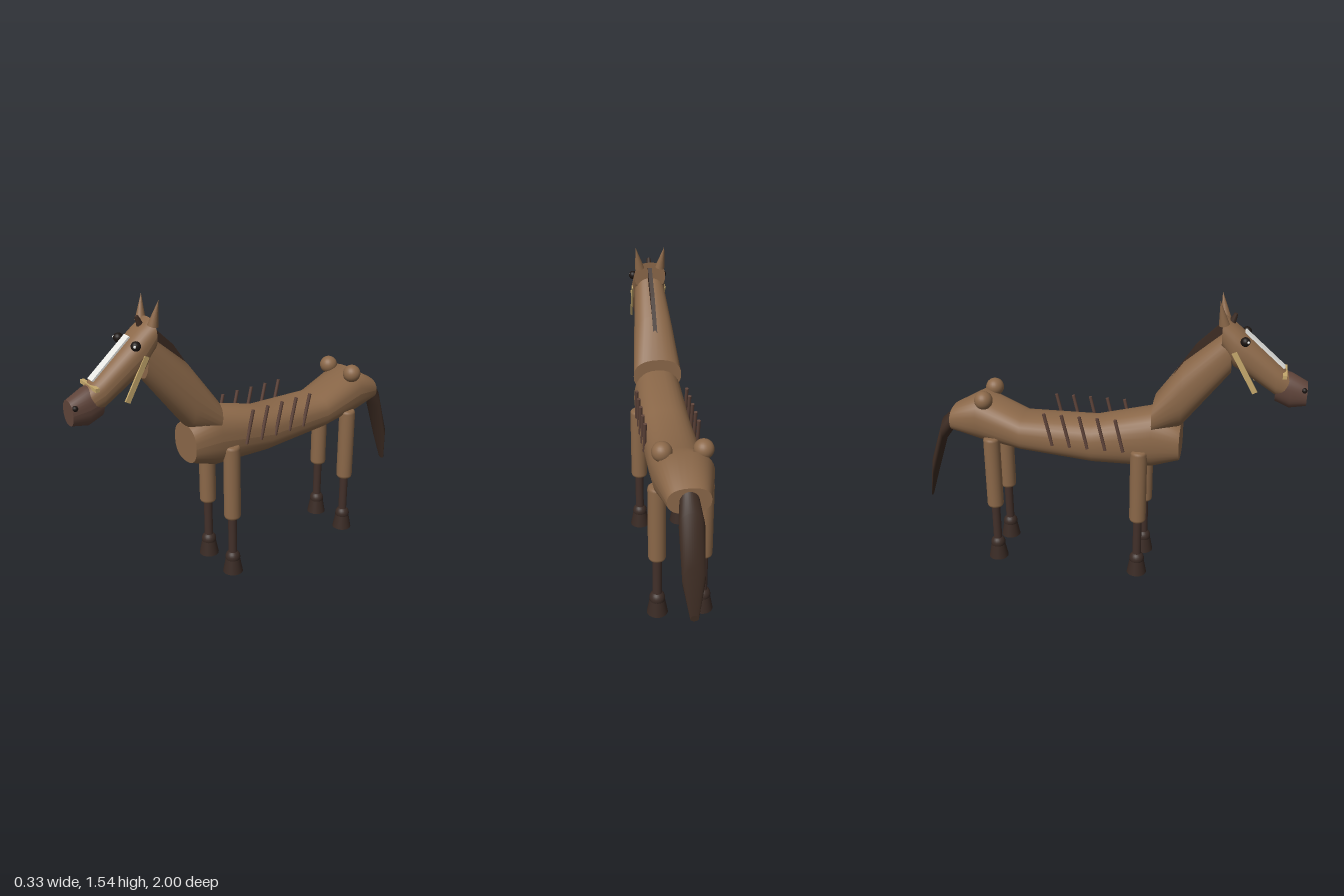
import * as THREE from 'three';

const material = (name, color, side = THREE.FrontSide) => {
  const m = new THREE.MeshStandardMaterial({ color, side });
  m.name = name;
  return m;
};

// Closed skin through upright sections [z, yLow, yHigh, halfWidth], listed front to back
function loft(rings, power = 2.4, sides = 32) {
  const pos = [], idx = [], n = sides + 1;
  const curve = (v) => Math.sign(v) * Math.pow(Math.abs(v), 2 / power);
  const addRing = ([z, lo, hi, w]) => {
    for (let j = 0; j <= sides; j++) {
      const a = ((j % sides) / sides) * Math.PI * 2;
      pos.push(w * curve(Math.cos(a)), (lo + hi) / 2 + ((hi - lo) / 2) * curve(Math.sin(a)), z);
    }
  };
  rings.forEach(addRing);
  for (let i = 0; i < rings.length - 1; i++) {
    for (let j = 0; j < sides; j++) {
      const a = i * n + j, b = a + n;
      idx.push(a, b, a + 1, b, b + 1, a + 1);
    }
  }
  // Flat end caps with their own corners, so the rims stay sharp
  [[rings[0], true], [rings[rings.length - 1], false]].forEach(([ring, front]) => {
    const start = pos.length / 3;
    addRing(ring);
    pos.push(0, (ring[1] + ring[2]) / 2, ring[0]);
    for (let j = start; j < start + sides; j++) {
      if (front) idx.push(start + n, j, j + 1);
      else idx.push(start + n, j + 1, j);
    }
  });
  const g = new THREE.BufferGeometry();
  g.setAttribute('position', new THREE.Float32BufferAttribute(pos, 3));
  g.setIndex(idx);
  g.computeVertexNormals();
  return g;
}

export function createModel() {
  const coat = material('coat brown', 0x8b6849);
  const dark = material('dark hair', 0x3c2b22);
  const shin = material('lower leg brown', 0x42302a);
  const hoofMat = material('hoof brown', 0x392a24);
  const muzzleMat = material('muzzle brown', 0x5f443a);
  const strapMat = material('strap tan', 0xc4a86c);
  const white = material('blaze white', 0xeeeeea);
  const eyeMat = material('eye black', 0x1c1512);

  const model = new THREE.Group();
  model.name = 'horse';
  const add = (name, geometry, mat, x = 0, y = 0, z = 0) => {
    const m = new THREE.Mesh(geometry, mat);
    m.name = name;
    m.position.set(x, y, z);
    model.add(m);
    return m;
  };
  // Round or square bar between two points
  const bar = (name, geometry, mat, from, to) => {
    const a = new THREE.Vector3(...from), b = new THREE.Vector3(...to);
    const m = add(name, geometry, mat);
    m.position.copy(a).add(b).multiplyScalar(0.5);
    m.quaternion.setFromUnitVectors(new THREE.Vector3(0, 1, 0), b.sub(a).normalize());
    return m;
  };

  // Trunk, neck, head, muzzle and tail
  add('body', loft([
    [0.40, 0.665, 0.865, 0.10], [0.26, 0.62, 0.94, 0.13], [-0.05, 0.62, 0.855, 0.135],
    [-0.43, 0.655, 0.845, 0.135], [-0.66, 0.695, 0.95, 0.143], [-0.82, 0.73, 0.86, 0.10],
  ]), coat);
  add('neck', loft([
    [0.63, 1.16, 1.40, 0.08], [0.40, 0.86, 1.20, 0.112], [0.26, 0.82, 1.0, 0.13],
  ]), coat);
  add('head', loft([
    [0.92, 1.05, 1.165, 0.055], [0.85, 1.065, 1.225, 0.075], [0.70, 1.165, 1.355, 0.09],
    [0.64, 1.20, 1.405, 0.09], [0.58, 1.29, 1.445, 0.085],
  ]), coat);
  add('muzzle', loft([
    [1.0, 1.015, 1.135, 0.052], [0.92, 1.0, 1.178, 0.064], [0.85, 1.03, 1.19, 0.06],
  ], 2.2), muzzleMat);
  add('tail', loft([
    [-0.79, 0.78, 0.87, 0.04], [-0.89, 0.64, 0.78, 0.058],
    [-0.965, 0.40, 0.55, 0.052], [-1.0, 0.28, 0.31, 0.02],
  ], 2), dark);

  // Mane blade along the crest
  const crest = new THREE.Shape([
    [0.28, 1.02], [0.455, 1.29], [0.585, 1.42], [0.58, 1.34], [0.44, 1.20],
  ].map(([z, y]) => new THREE.Vector2(-z, y)));
  const maneGeo = new THREE.ExtrudeGeometry(crest, { depth: 0.022, bevelEnabled: false });
  maneGeo.translate(0, 0, -0.011).rotateY(Math.PI / 2);
  add('mane', maneGeo, dark);
  bar('forelock', new THREE.CylinderGeometry(0.009, 0.02, 0.06, 8), dark, [0, 1.40, 0.615], [0, 1.455, 0.635]);

  // Face blaze and noseband
  const blaze = add('blaze', new THREE.BoxGeometry(0.045, 0.009, 0.26), white, 0, 1.289, 0.785);
  blaze.rotation.x = Math.atan2(0.13, 0.15);
  add('noseband', new THREE.BoxGeometry(0.156, 0.018, 0.02), strapMat, 0, 1.18, 0.887);

  // Upper leg profile with rounded rims
  const thigh = new THREE.LatheGeometry([
    [0, 0.325], [0.034, 0.325], [0.041, 0.331], [0.044, 0.342],
    [0.044, 0.722], [0.041, 0.733], [0.034, 0.739], [0, 0.739],
  ].map((p) => new THREE.Vector2(...p)), 24);

  for (const s of [-1, 1]) {
    const side = s > 0 ? 'left' : 'right';
    // Legs
    for (const [end, z] of [['Front', 0.20], ['Hind', -0.585]]) {
      const x = s * 0.114;
      add(side + end + 'UpperLeg', thigh, coat, x, 0, z);
      add(side + end + 'LowerLeg', new THREE.CylinderGeometry(0.023, 0.023, 0.25, 20), shin, x, 0.215, z);
      add(side + end + 'Fetlock', new THREE.SphereGeometry(0.04, 20, 14), hoofMat, x, 0.088, z);
      add(side + end + 'Hoof', new THREE.CylinderGeometry(0.037, 0.053, 0.085, 24), hoofMat, x, 0.0425, z);
    }
    // Hip joint
    add(side + 'Hip', new THREE.SphereGeometry(0.048, 24, 16), coat, s * 0.095, 0.938, -0.622);
    // Ribs
    for (let i = 0; i < 5; i++) {
      const z = 0.12 - i * 0.0925;
      bar(side + 'Rib' + (i + 1), new THREE.CylinderGeometry(0.009, 0.009, 0.18, 10), muzzleMat,
        [s * 0.132, 0.735, z], [s * 0.132, 0.905, z - 0.04]);
    }
    // Ear, eye, nostril and cheek strap
    bar(side + 'Ear', new THREE.ConeGeometry(0.026, 0.125, 16), coat,
      [s * 0.056, 1.415, 0.585], [s * 0.078, 1.535, 0.562]);
    add(side + 'Eye', new THREE.SphereGeometry(0.023, 18, 12), eyeMat, s * 0.082, 1.345, 0.69);
    add(side + 'EyeGlint', new THREE.SphereGeometry(0.007, 10, 8), white, s * 0.098, 1.348, 0.704);
    add(side + 'Nostril', new THREE.SphereGeometry(0.014, 14, 10), eyeMat, s * 0.044, 1.107, 0.985);
    bar(side + 'CheekStrap', new THREE.BoxGeometry(0.009, 0.225, 0.026), strapMat,
      [s * 0.09, 1.285, 0.645], [s * 0.09, 1.10, 0.75]);
  }
  return model;
}
